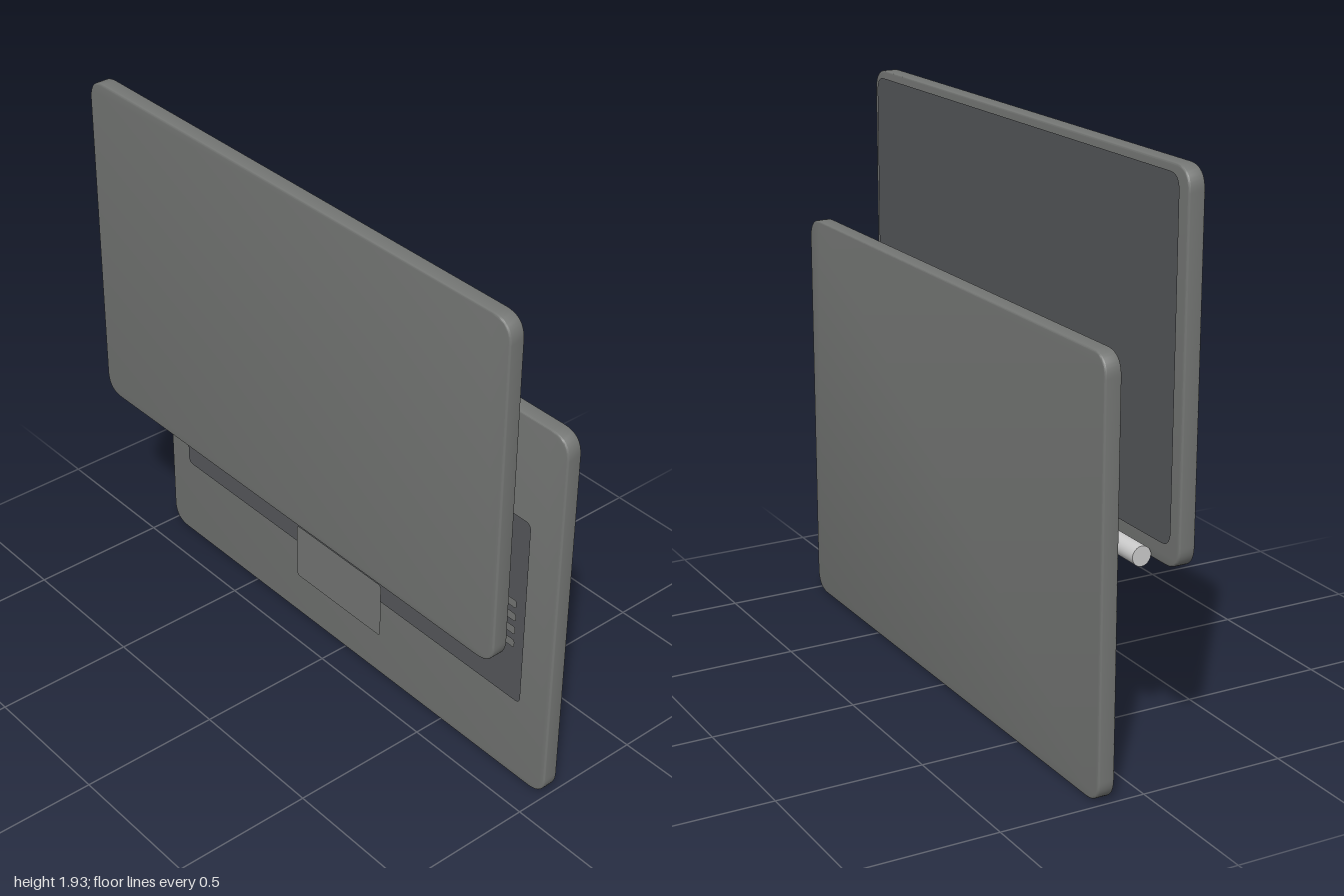
import * as THREE from 'three';
import { toCreasedNormals } from 'three/addons/utils/BufferGeometryUtils.js';

const shell = new THREE.MeshStandardMaterial({ color: 0x747674, side: THREE.DoubleSide });
const dark = new THREE.MeshStandardMaterial({ color: 0x56585b, side: THREE.DoubleSide });
const grey = new THREE.MeshStandardMaterial({ color: 0xcccccc });

// Rounded rectangle centred on the origin
function roundedRect(w, h, r) {
  const x = w / 2, y = h / 2, s = new THREE.Shape();
  s.moveTo(-x + r, -y);
  s.lineTo(x - r, -y);
  s.quadraticCurveTo(x, -y, x, -y + r);
  s.lineTo(x, y - r);
  s.quadraticCurveTo(x, y, x - r, y);
  s.lineTo(-x + r, y);
  s.quadraticCurveTo(-x, y, -x, y - r);
  s.lineTo(-x, -y + r);
  s.quadraticCurveTo(-x, -y, -x + r, -y);
  return s;
}

function addMesh(parent, name, geometry, material, x, y, z) {
  const mesh = new THREE.Mesh(geometry, material);
  mesh.name = name;
  mesh.position.set(x, y, z);
  parent.add(mesh);
  return mesh;
}

// Thick panel with softened edges, centred on its own depth
function slab(w, h, depth, r) {
  const b = 0.006;
  const g = new THREE.ExtrudeGeometry(roundedRect(w - 2 * b, h - 2 * b, r), {
    depth: depth - 2 * b, bevelSize: b, bevelThickness: b, bevelSegments: 3, curveSegments: 10,
  });
  g.translate(0, 0, b - depth / 2);
  return toCreasedNormals(g, 0.6);
}

// Paper-thin rounded panel
const sheet = (w, h, r) => new THREE.ShapeGeometry(roundedRect(w, h, r), 8);

export function createModel() {
  const laptop = new THREE.Group();
  laptop.name = 'laptop';

  // Base with keyboard bed and trackpad floating in front of it
  const base = new THREE.Group();
  base.name = 'base';
  laptop.add(base);
  addMesh(base, 'baseShell', slab(2, 1.415, 0.056, 0.07), shell, 0, 0.7075, -0.134);
  addMesh(base, 'keyboardBed', sheet(1.76, 0.72, 0.025), dark, 0, 0.69, -0.093);
  addMesh(base, 'trackpad', sheet(0.446, 0.218, 0.015), shell, 0, 0.315, -0.072);

  // Rows of keys
  const keys = new THREE.Group();
  keys.name = 'keys';
  base.add(keys);
  const keyShape = sheet(0.094, 0.031, 0.01);
  for (let row = 0; row < 4; row++) {
    for (let col = 0; col < 13; col++) {
      addMesh(keys, 'key', keyShape, shell, (col - 6) * 0.1337, 0.565 + row * 0.0525, -0.083);
    }
  }

  // Lid with the screen on its rear face
  const lid = new THREE.Group();
  lid.name = 'lid';
  laptop.add(lid);
  addMesh(lid, 'lidShell', slab(2, 1.225, 0.056, 0.07), shell, 0, 1.3135, 0.134);
  addMesh(lid, 'screen', sheet(1.93, 1.13, 0.05), dark, 0, 1.337, 0.096).rotation.y = Math.PI;

  // Hinge bar
  const hinge = addMesh(laptop, 'hinge', new THREE.CylinderGeometry(0.033, 0.033, 1.7, 32), grey, 0, 0.711, 0.071);
  hinge.rotation.z = Math.PI / 2;

  return laptop;
}
